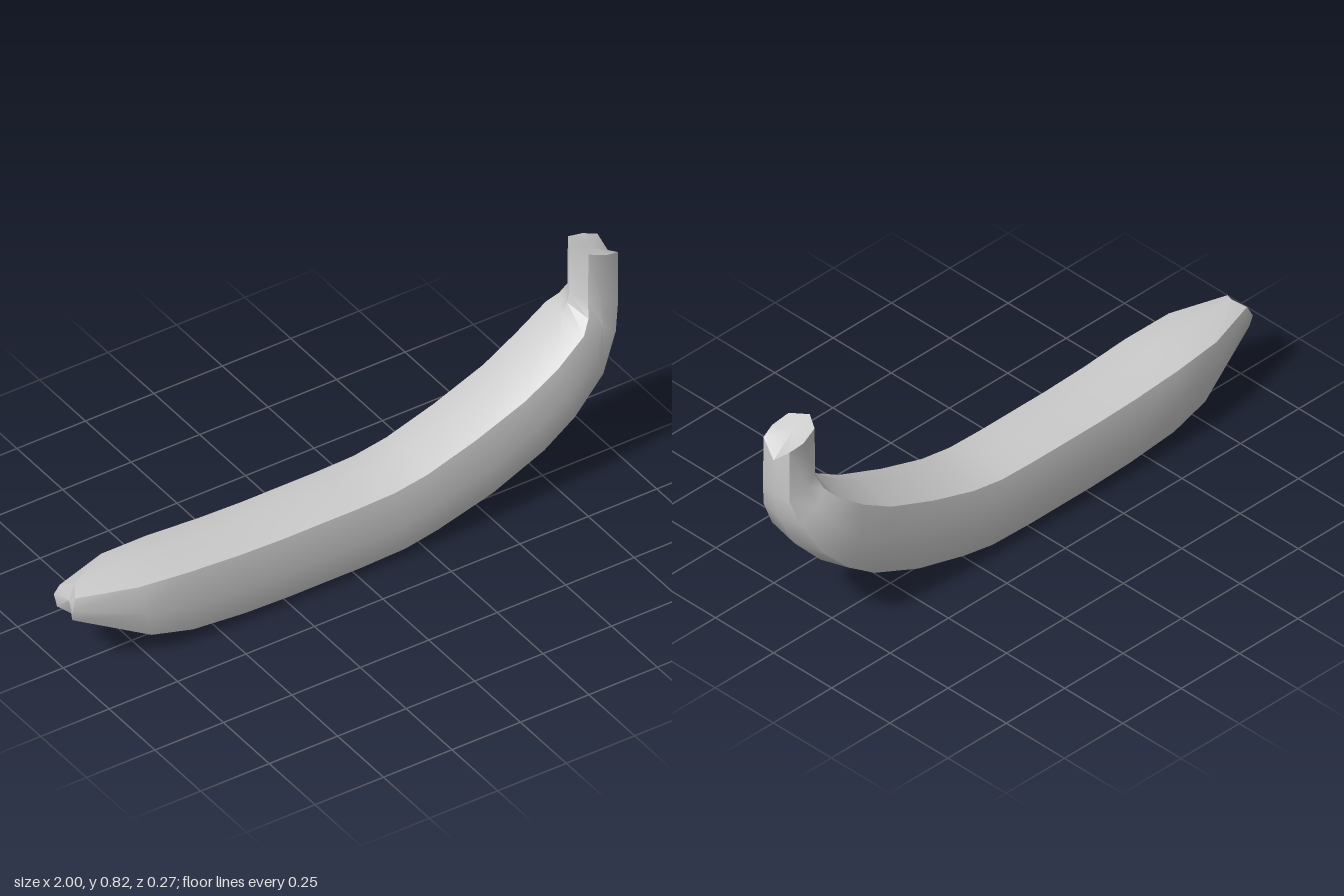
import * as THREE from 'three';
import { toCreasedNormals } from 'three/addons/utils/BufferGeometryUtils.js';

// Cross-sections from blossom tip to stem:
// inner-curve x, y, outer-curve x, y, half width, inner inset, outer inset
const SECTIONS = [
  [-0.80, 0.31, -0.74, 0.06, 0.122, 0.10, 0.10],
  [-0.62, 0.30, -0.60, 0.025, 0.135, 0.09, 0.10],
  [-0.44, 0.288, -0.41, 0.007, 0.135, 0.09, 0.10],
  [-0.28, 0.283, -0.25, 0.002, 0.135, 0.09, 0.10],
  [0.00, 0.283, 0.02, 0.002, 0.135, 0.09, 0.10],
  [0.13, 0.29, 0.18, 0.007, 0.135, 0.10, 0.10],
  [0.25, 0.31, 0.30, 0.03, 0.135, 0.10, 0.10],
  [0.42, 0.365, 0.50, 0.085, 0.135, 0.10, 0.10],
  [0.60, 0.44, 0.69, 0.17, 0.135, 0.11, 0.10],
  [0.72, 0.51, 0.80, 0.25, 0.135, 0.11, 0.10],
  [0.82, 0.59, 0.91, 0.37, 0.125, 0.13, 0.09],
  [0.84, 0.62, 0.975, 0.50, 0.095, 0.18, 0.08],
  [0.845, 0.655, 0.998, 0.60, 0.067, 0.22, 0.06],
];

// Eight points: inner ridge, corner, side, corner, outer ridge and the mirrored half
function ring(inner, c1, side, c2, outer) {
  const flip = ([x, y, z]) => [x, y, -z];
  return [inner, c1, side, c2, outer, flip(c2), flip(side), flip(c1)];
}

function sectionRing([ix, iy, ox, oy, w, insetIn, insetOut]) {
  const at = (t, z) => [ix + (ox - ix) * t, iy + (oy - iy) * t, z];
  return ring(at(0, 0), at(insetIn, w * 0.84), at(0.5, w), at(1 - insetOut, w * 0.84), at(1, 0));
}

function createSkin() {
  const rings = [
    // blunt blossom tip with a notched rim
    ring([-0.96, 0.305, 0], [-0.985, 0.285, 0.042], [-1, 0.25, 0.052], [-0.995, 0.207, 0.042], [-0.91, 0.14, 0]),
    ...SECTIONS.map(sectionRing),
    // cut stem end, dipping at the outer ridge
    ring([0.845, 0.826, 0], [0.88, 0.82, 0.056], [0.94, 0.80, 0.067], [0.988, 0.785, 0.056], [1, 0.733, 0]),
  ];
  const n = 8;
  const last = rings.length - 1;
  const points = rings.flat();
  const index = [];
  for (let i = 0; i < last; i++) {
    for (let j = 0; j < n; j++) {
      const a = i * n + j, b = i * n + (j + 1) % n;
      index.push(a, b, a + n, b, b + n, a + n);
    }
  }
  // end caps
  const tip = points.push([-0.98, 0.25, 0]) - 1;
  const stem = points.push([0.92, 0.80, 0]) - 1;
  for (let j = 0; j < n; j++) {
    const k = (j + 1) % n;
    index.push(tip, k, j, stem, last * n + j, last * n + k);
  }
  const geometry = new THREE.BufferGeometry();
  geometry.setAttribute('position', new THREE.Float32BufferAttribute(points.flat(), 3));
  geometry.setIndex(index);
  return toCreasedNormals(geometry, THREE.MathUtils.degToRad(42));
}

export function createModel() {
  const group = new THREE.Group();
  group.name = 'banana';
  const material = new THREE.MeshStandardMaterial({ color: 0xcccccc, side: THREE.DoubleSide });
  const skin = new THREE.Mesh(createSkin(), material);
  skin.name = 'bananaSkin';
  group.add(skin);
  return group;
}
